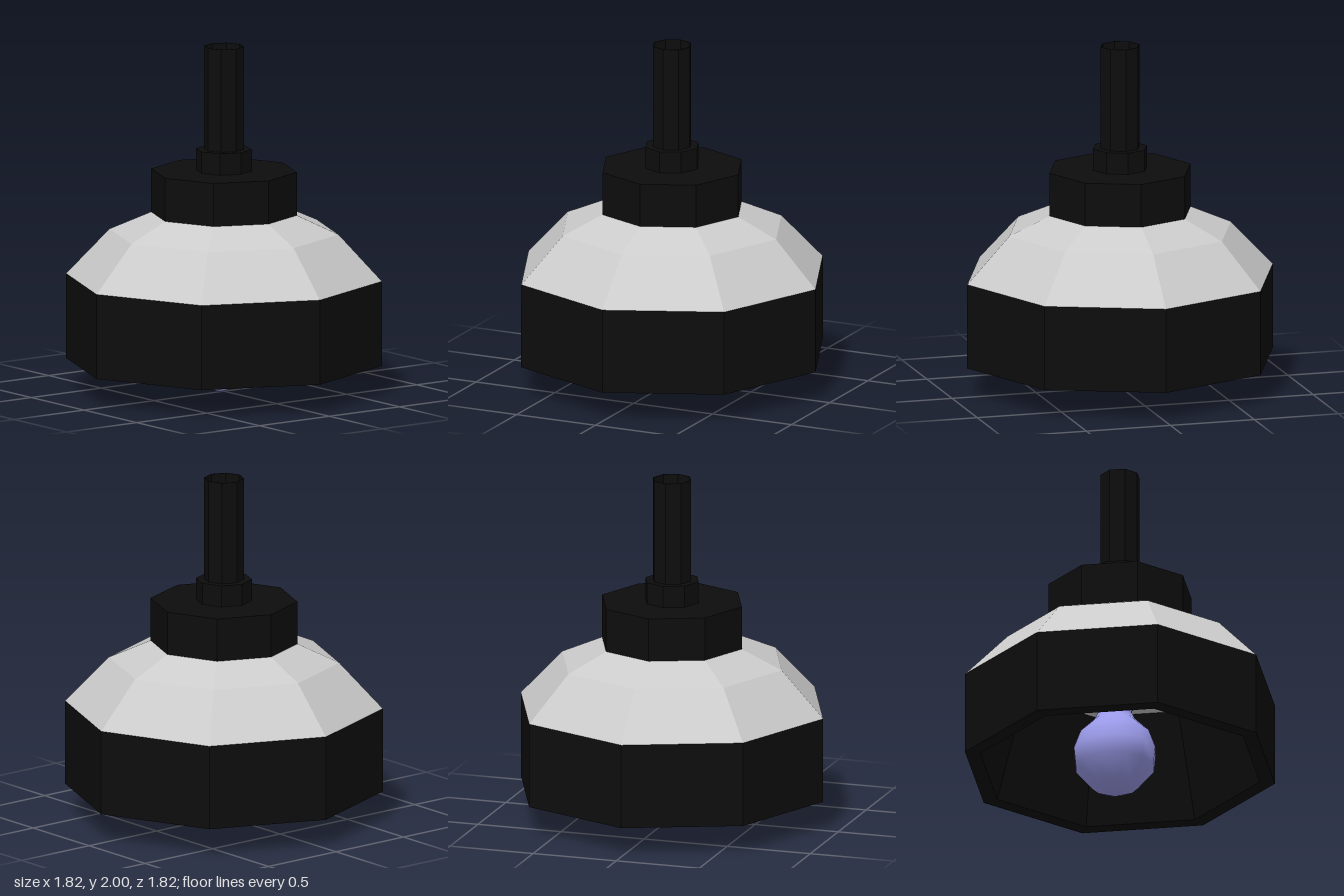
import * as THREE from 'three';

const SIDES = 8;
const material = (color) => new THREE.MeshStandardMaterial({ color, flatShading: true });

// Profiles run counter-clockwise in (radius, height): up the outside, down the inside.
function turned(name, profile, mat, sides = SIDES) {
  const points = profile.map(([r, y]) => new THREE.Vector2(r, y));
  const mesh = new THREE.Mesh(new THREE.LatheGeometry(points, sides), mat);
  mesh.name = name;
  return mesh;
}

export function createModel() {
  const model = new THREE.Group();
  model.name = 'pendantLamp';
  const black = material(0x0d0d0d);
  const grey = material(0xcccccc);
  const glass = new THREE.MeshStandardMaterial({ color: 0x9c9cec });

  // Thick lower band, its inner wall leaning in towards the ceiling
  model.add(turned('shadeBand', [[0.64, 0.78], [0.82, 0.17], [0.91, 0.17], [0.91, 0.66]], black));

  // Sloped metal shade and the flat ceiling inside it
  model.add(turned('shade', [[0.91, 0.66], [0.66, 0.925], [0.42, 1.03], [0, 1.03]], grey));
  model.add(turned('shadeCeiling', [[0, 0.78], [0.64, 0.78]], grey));

  // Cap, collar and open pipe
  model.add(turned('cap', [[0.42, 1.03], [0.42, 1.28], [0.11, 1.28]], black));
  model.add(turned('collar', [[0.16, 1.28], [0.16, 1.405], [0.11, 1.405]], black));
  model.add(turned('pipe', [[0.115, 1.03], [0.115, 2], [0.11, 2], [0.11, 1.03]], black));

  // Wire, socket and bulb hang slightly behind the axis
  const fitting = new THREE.Group();
  fitting.name = 'bulbFitting';
  fitting.position.z = -0.03;
  fitting.add(turned('wire', [[0.07, 0.78], [0.07, 1.08], [0, 1.08]], black));
  fitting.add(turned('socket', [[0, 0.56], [0.135, 0.56], [0.135, 0.78]], black));
  fitting.add(turned('bulb', [
    [0, 0], [0.03, 0], [0.135, 0.05], [0.23, 0.165], [0.24, 0.27],
    [0.2, 0.38], [0.12, 0.46], [0.1, 0.5], [0.1, 0.57],
  ], glass, 12));
  model.add(fitting);

  return model;
}
